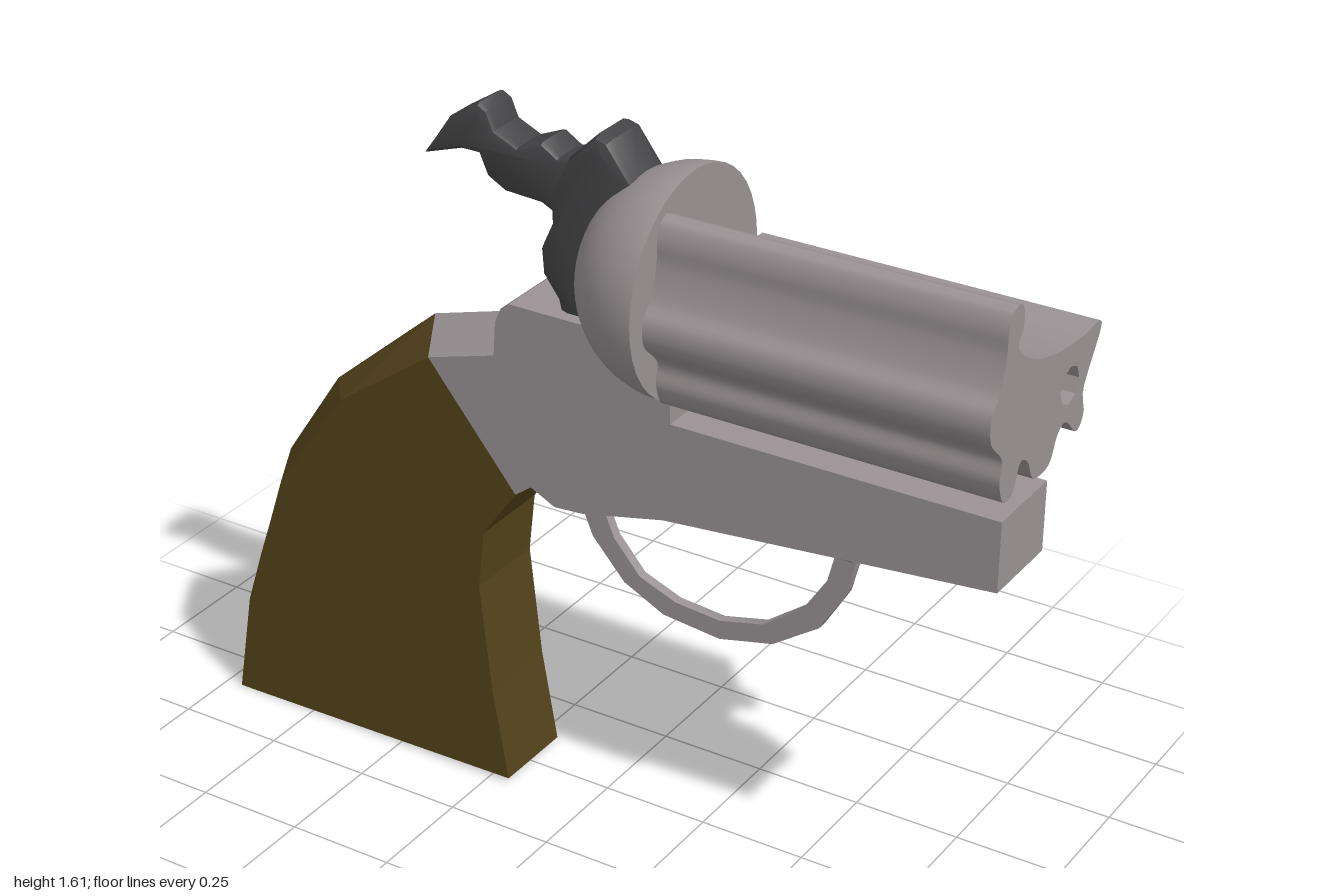
import * as THREE from 'three';
import { toCreasedNormals } from 'three/addons/utils/BufferGeometryUtils.js';

const mat = (color) => new THREE.MeshStandardMaterial({ color, side: THREE.DoubleSide });
const steel = mat(0x9a9294), dark = mat(0x444446), wood = mat(0x54431b);
const vec = (pts) => pts.map(([x, y]) => new THREE.Vector2(x, y));

function add(parent, name, geometry, material) {
  const mesh = new THREE.Mesh(geometry, material);
  mesh.name = name;
  parent.add(mesh);
  return mesh;
}

function fromTriangles(pos) {
  const g = new THREE.BufferGeometry();
  g.setAttribute('position', new THREE.Float32BufferAttribute(pos, 3));
  g.computeVertexNormals();
  return g;
}

// Body with flat cheeks at z = +-w and a middle section that may stand proud as a ridge
function ridgeBody(side, ridge, w) {
  const rows = [[side, -w], [ridge, 0], [side, w]]
    .map(([loop, z]) => loop.map(([x, y]) => [x, y, z]));
  const pos = [], n = side.length;
  for (let r = 0; r < 2; r++) {
    for (let i = 0; i < n; i++) {
      const j = (i + 1) % n;
      const a = rows[r][i], b = rows[r][j], c = rows[r + 1][j], d = rows[r + 1][i];
      pos.push(...a, ...b, ...c, ...a, ...c, ...d);
    }
  }
  for (const [a, b, c] of THREE.ShapeUtils.triangulateShape(vec(side), [])) {
    pos.push(...rows[2][a], ...rows[2][b], ...rows[2][c]);
    pos.push(...rows[0][c], ...rows[0][b], ...rows[0][a]);
  }
  return fromTriangles(pos);
}

// Band between an outer and an inner curve, flared at both ends
function bandGeometry(outer, inner, widths) {
  const rings = outer.map(([x, y], i) => {
    const [u, v] = inner[i], w = widths[i];
    return [[x, y, w], [x, y, -w], [u, v, -w], [u, v, w]];
  });
  const pos = [];
  for (let i = 0; i < rings.length - 1; i++) {
    for (let k = 0; k < 4; k++) {
      const l = (k + 1) % 4;
      const a = rings[i][k], b = rings[i][l], c = rings[i + 1][l], d = rings[i + 1][k];
      pos.push(...a, ...b, ...c, ...a, ...c, ...d);
    }
  }
  return toCreasedNormals(fromTriangles(pos), 0.6);
}

// Cross with flared, pointed arms and a long foot
function crossGeometry(depth, bevel) {
  const arms = [[0, 0.18], [Math.PI / 2, 0.175], [Math.PI, 0.25], [-Math.PI / 2, 0.175]];
  const pts = [];
  for (const [angle, len] of arms) {
    const arm = [[0.03, 0.035], [0.055, len - 0.06], [0.045, len - 0.03], [0.012, len],
      [-0.012, len], [-0.045, len - 0.03], [-0.055, len - 0.06], [-0.03, 0.035]];
    const c = Math.cos(angle), s = Math.sin(angle);
    for (const [x, y] of arm) pts.push([x * c - y * s, x * s + y * c]);
  }
  const g = new THREE.ExtrudeGeometry(new THREE.Shape(vec(pts)), {
    depth, bevelThickness: bevel, bevelSize: bevel, bevelSegments: 2,
  });
  return toCreasedNormals(g, 0.7);
}

export function createModel() {
  const model = new THREE.Group();
  model.name = 'revolver';

  // Grip with a ridged back
  const gripFront = [[-0.2, 0.01], [-0.24, 0.23], [-0.27, 0.49], [-0.255, 0.63], [-0.17, 0.75]];
  const gripSide = [[-0.39, 1.02], [-0.63, 0.85], [-0.81, 0.59], [-0.92, 0.25], [-0.96, 0], [-0.92, 0]];
  const gripRidge = [[-0.44, 1.07], [-0.71, 0.84], [-0.855, 0.62], [-0.96, 0.31], [-1, 0.1], [-0.92, 0]];
  add(model, 'grip', ridgeBody([...gripFront, ...gripSide], [...gripFront, ...gripRidge], 0.1), wood);

  // Frame with a ridged tang behind the step
  const frame = [[-0.17, 0.75], [-0.13, 0.78], [-0.07, 0.75], [0, 0.755], [0.2, 0.8], [0.97, 0.87],
    [0.97, 1.03], [0.215, 1.03], [0.215, 1.2], [-0.18, 1.2], [-0.2, 1.185]];
  add(model, 'frame', ridgeBody(
    [...frame, [-0.215, 1.15], [-0.22, 1.07], [-0.39, 1.02]],
    [...frame, [-0.215, 1.17], [-0.27, 1.12], [-0.44, 1.07]], 0.1), steel);

  // Trigger guard
  const outer = [[-0.075, 0.76], [-0.055, 0.71], [-0.03, 0.65], [0.05, 0.56], [0.15, 0.51], [0.29, 0.495],
    [0.42, 0.525], [0.53, 0.6], [0.59, 0.7], [0.61, 0.78], [0.62, 0.845]];
  const inner = [[-0.015, 0.76], [-0.005, 0.73], [0.025, 0.66], [0.09, 0.585], [0.18, 0.55], [0.29, 0.54],
    [0.395, 0.565], [0.49, 0.635], [0.545, 0.72], [0.56, 0.78], [0.57, 0.84]];
  const widths = outer.map((_, i) => (i === 0 || i === outer.length - 1 ? 0.1 : 0.012));
  add(model, 'triggerGuard', bandGeometry(outer, inner, widths), steel);

  // Rounded recoil dome with a flat front
  const dome = new THREE.Group();
  dome.name = 'dome';
  dome.position.set(0.21, 1.31, 0);
  model.add(dome);
  const shell = new THREE.SphereGeometry(0.25, 40, 16, 0, Math.PI * 2, 0, Math.PI / 2);
  add(dome, 'domeShell', shell.scale(1, 0.97, 1).rotateZ(Math.PI / 2), steel);
  add(dome, 'domeFace', new THREE.CircleGeometry(0.25, 40).rotateY(Math.PI / 2), steel);

  // Fluted cylinder with one bored chamber; section points are (z, y)
  const section = [[0.153, 1.527], [0.128, 1.515], [0.124, 1.47], [0.14, 1.43], [0.06, 1.375], [-0.05, 1.345],
    [-0.15, 1.335], [-0.24, 1.33], [-0.175, 1.215], [-0.184, 1.155], [-0.154, 1.125], [-0.1, 1.17],
    [-0.064, 1.155], [-0.034, 1.105], [0.034, 1.105], [0.064, 1.155], [0.1, 1.17], [0.128, 1.115],
    [0.167, 1.115], [0.188, 1.165], [0.184, 1.215], [0.235, 1.27], [0.24, 1.325], [0.21, 1.365],
    [0.19, 1.43], [0.188, 1.48], [0.175, 1.515]];
  const loop = vec(section.map(([z, y]) => [-z, y]));
  const fluted = new THREE.Shape();
  fluted.moveTo(loop[0].x, loop[0].y);
  fluted.splineThru([...loop.slice(1), loop[0].clone()]);
  const bore = new THREE.Path();
  bore.absarc(0.107, 1.247, 0.042, 0, Math.PI * 2, true);
  fluted.holes.push(bore);
  const cylinder = new THREE.ExtrudeGeometry(fluted, { depth: 0.765, bevelEnabled: false, curveSegments: 4 });
  cylinder.rotateY(Math.PI / 2);
  add(model, 'cylinder', toCreasedNormals(cylinder, 0.6), steel).position.x = 0.235;

  // Hammer: a curved body and a wavy thumb spur
  const bevelled = (pts, half, bevel) => toCreasedNormals(new THREE.ExtrudeGeometry(new THREE.Shape(vec(pts)), {
    depth: 2 * (half - bevel), bevelThickness: bevel, bevelSize: bevel, bevelOffset: -bevel, bevelSegments: 2,
  }).translate(0, 0, bevel - half), 0.6);
  add(model, 'hammerBody', bevelled([[0.02, 1.15], [0.1, 1.3], [0.1, 1.52], [0.04, 1.6], [0.01, 1.608],
    [-0.06, 1.54], [-0.1, 1.46], [-0.1, 1.39], [-0.127, 1.33], [-0.122, 1.27], [-0.085, 1.22], [-0.07, 1.16]],
  0.07, 0.025), dark);
  add(model, 'hammerSpur', bevelled([[-0.425, 1.465], [-0.36, 1.56], [-0.285, 1.608], [-0.262, 1.595],
    [-0.245, 1.555], [-0.19, 1.53], [-0.13, 1.555], [-0.09, 1.53], [0, 1.55], [0, 1.4], [-0.09, 1.4],
    [-0.13, 1.42], [-0.22, 1.425], [-0.265, 1.45], [-0.285, 1.495], [-0.33, 1.495]], 0.052, 0.015), dark);

  // Large cross on the back cheek of the grip
  const gripCross = add(model, 'gripCross', crossGeometry(0.03, 0.02), steel);
  gripCross.position.set(-0.56, 0.45, -0.122);
  gripCross.rotation.z = -0.27;

  // Row of growing small crosses along the back of the frame
  const smallCross = crossGeometry(0.03, 0.015);
  [[0.87, 0.955, 0.29], [0.69, 0.945, 0.34], [0.51, 0.935, 0.39], [0.3, 0.93, 0.43]].forEach(([x, y, s]) => {
    const mesh = add(model, 'frameCross', smallCross, dark);
    mesh.position.set(x, y, -0.108);
    mesh.scale.set(s, s, 0.5);
  });

  return model;
}
